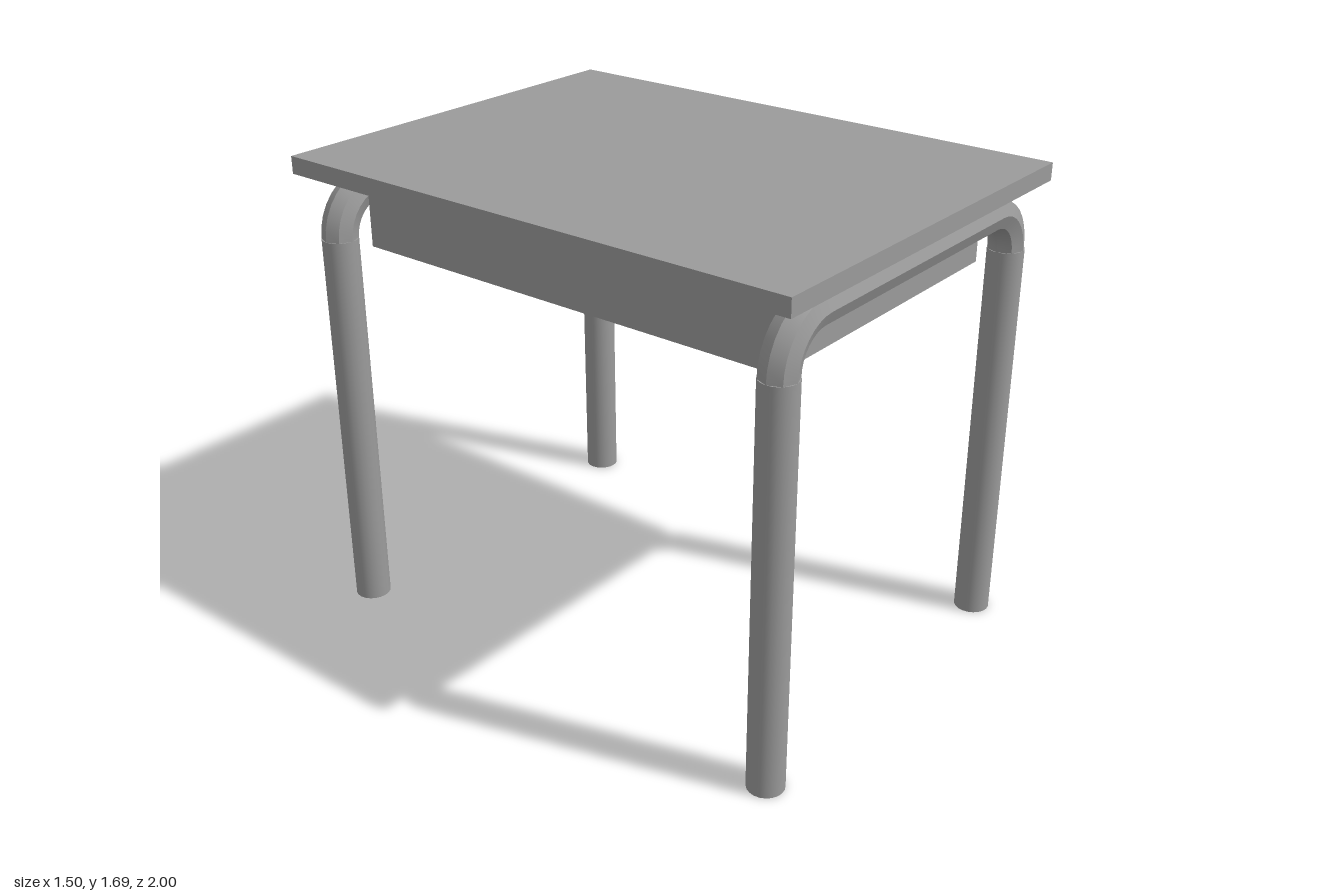
import * as THREE from 'three';
import { toCreasedNormals } from 'three/addons/utils/BufferGeometryUtils.js';

const material = new THREE.MeshStandardMaterial({ color: 0x9b9b9b });

function add(parent, name, geometry, x, y, z) {
  const mesh = new THREE.Mesh(geometry, material);
  mesh.name = name;
  mesh.position.set(x, y, z);
  parent.add(mesh);
}

const box = (parent, name, x0, x1, y0, y1, z0, z1) =>
  add(parent, name, new THREE.BoxGeometry(x1 - x0, y1 - y0, z1 - z0),
    (x0 + x1) / 2, (y0 + y1) / 2, (z0 + z1) / 2);

// Inverted U of tube: two round legs, two faceted bends and a faceted crossbar
function legFrame(name) {
  const frame = new THREE.Group();
  frame.name = name;
  const tube = 0.0625, bend = 0.159, half = 0.658, legTop = 1.4;
  const inner = half - bend;
  const crease = 0.6;

  for (const side of [-1, 1]) {
    const label = side > 0 ? 'left' : 'right';
    const leg = new THREE.CylinderGeometry(tube, tube, legTop, 20);
    add(frame, label + 'Leg', leg, side * half, legTop / 2, 0);

    const arc = new THREE.TorusGeometry(bend, tube, 8, 8, Math.PI / 2);
    if (side < 0) arc.rotateZ(Math.PI / 2);
    add(frame, label + 'Bend', toCreasedNormals(arc, crease), side * inner, legTop, 0);
  }

  const bar = new THREE.CylinderGeometry(tube, tube, inner * 2, 8, 1, true);
  bar.rotateZ(Math.PI / 2);
  add(frame, 'crossbar', toCreasedNormals(bar, crease), 0, legTop + bend, 0);
  return frame;
}

export function createModel() {
  const desk = new THREE.Group();
  desk.name = 'desk';

  box(desk, 'tabletop', -0.75, 0.75, 1.625, 1.686, -1, 1);

  // Storage tray under the top, open towards +x
  const tray = new THREE.Group();
  tray.name = 'storageTray';
  desk.add(tray);
  const x0 = -0.577, x1 = 0.574, y0 = 1.358, y1 = 1.625, z0 = -0.834, z1 = 0.845, t = 0.032;
  box(tray, 'trayFloor', x0, x1, y0, y0 + t, z0, z1);
  box(tray, 'trayRoof', x0, x1, y1 - t, y1, z0, z1);
  box(tray, 'trayFrontWall', x0, x1, y0 + t, y1 - t, z1 - t, z1);
  box(tray, 'trayBackWall', x0, x1, y0 + t, y1 - t, z0, z0 + t);
  box(tray, 'trayEndWall', x0, x0 + t, y0 + t, y1 - t, z0 + t, z1 - t);

  // One leg frame at each end
  for (const [name, z] of [['frontLegFrame', 0.91], ['backLegFrame', -0.894]]) {
    const frame = legFrame(name);
    frame.position.set(-0.006, 0, z);
    desk.add(frame);
  }
  return desk;
}
